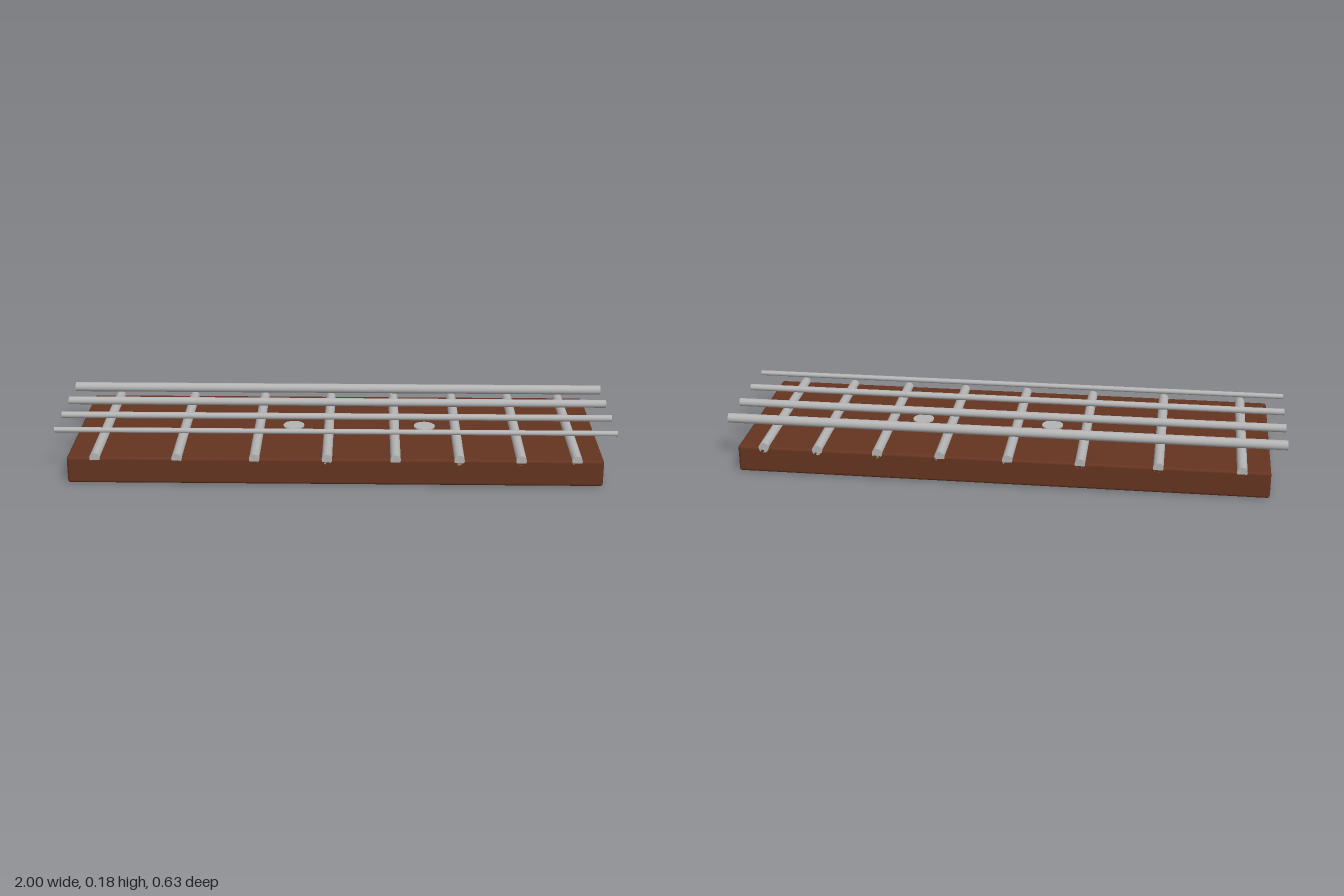
import * as THREE from 'three';
import { RoundedBoxGeometry } from 'three/addons/geometries/RoundedBoxGeometry.js';

export function createModel() {
  const model = new THREE.Group();
  model.name = 'fretboardSection';

  const wood = new THREE.MeshStandardMaterial({ color: 0x653420 });
  wood.name = 'brown wood';
  const metal = new THREE.MeshStandardMaterial({ color: 0xb4b4b4 });
  metal.name = 'grey metal';

  const add = (name, geometry, material, x, y, z) => {
    const mesh = new THREE.Mesh(geometry, material);
    mesh.name = name;
    mesh.position.set(x, y, z);
    model.add(mesh);
    return mesh;
  };

  // Wooden board with softened edges
  add('board', new RoundedBoxGeometry(1.89, 0.098, 0.632, 3, 0.01), wood, 0, 0.049, 0);

  // Fret wires, half sunk into the board and closer together towards +x
  const fretGeometry = new THREE.CylinderGeometry(0.0185, 0.0185, 0.632, 16).rotateX(Math.PI / 2);
  [-0.845, -0.556, -0.283, -0.027, 0.214, 0.438, 0.655, 0.85].forEach((x, i) =>
    add(`fret${i + 1}`, fretGeometry, metal, x, 0.096, 0));

  // Round position markers
  const markerGeometry = new THREE.CylinderGeometry(0.039, 0.039, 0.009, 16);
  [-0.157, 0.325].forEach((x, i) =>
    add(`positionMarker${i + 1}`, markerGeometry, metal, x, 0.098, 0));

  // Strings, thickest at the back
  [0.0095, 0.012, 0.0148, 0.0175].forEach((r, i) =>
    add(`string${i + 1}`, new THREE.CylinderGeometry(r, r, 2, 20).rotateZ(Math.PI / 2),
      metal, 0, 0.165, 0.222 - i * 0.148));

  return model;
}
